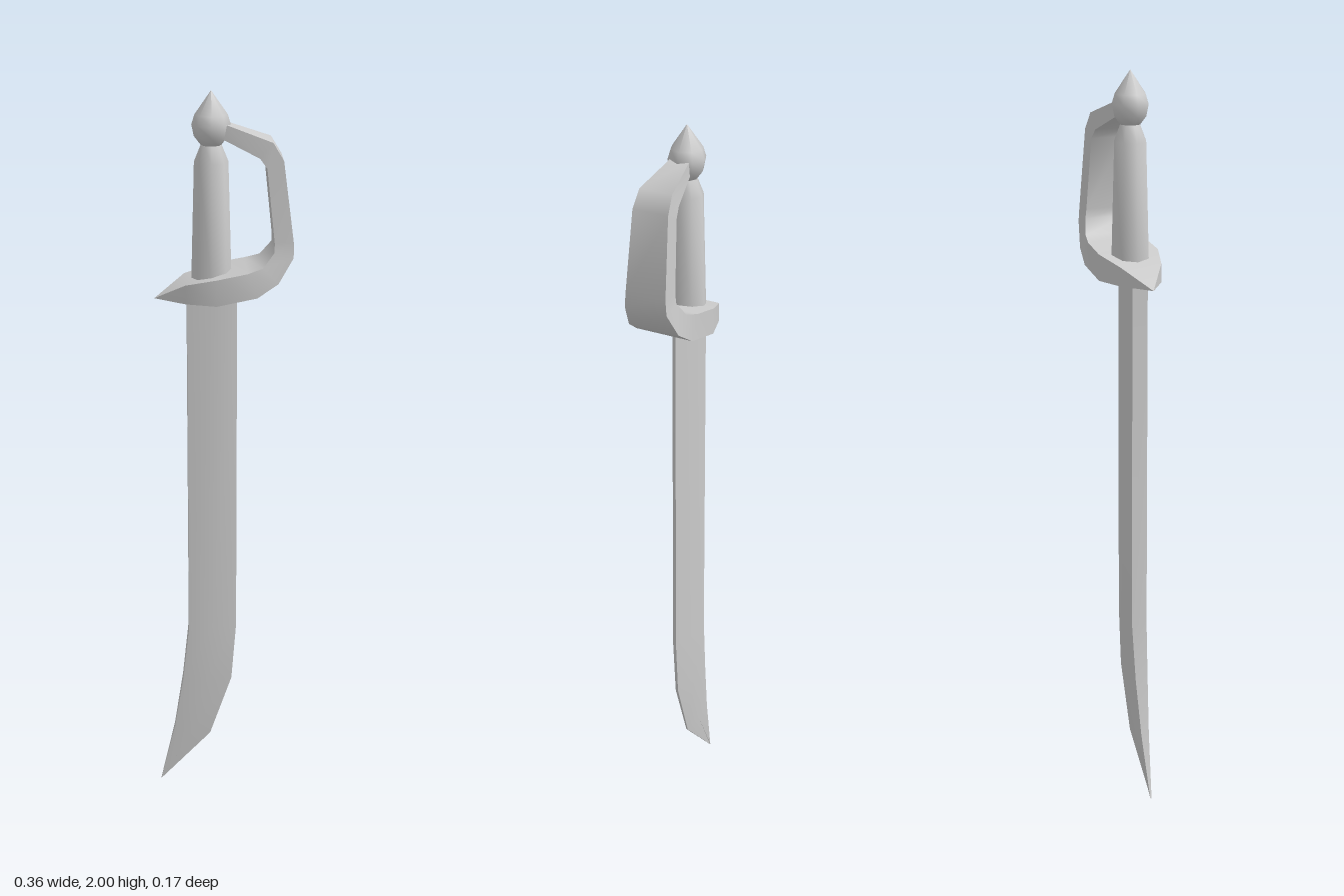
import * as THREE from 'three';
import { toCreasedNormals } from 'three/addons/utils/BufferGeometryUtils.js';

const material = new THREE.MeshStandardMaterial({ color: 0xcccccc });

function part(name, geometry, crease) {
  const mesh = new THREE.Mesh(toCreasedNormals(geometry, crease), material);
  mesh.name = name;
  return mesh;
}

// Skins a row of closed cross-sections and caps both ends
function loft(sections) {
  const pos = [];
  const tri = (a, b, c) => {
    const ab = new THREE.Vector3().subVectors(b, a);
    if (ab.cross(new THREE.Vector3().subVectors(c, a)).length() < 1e-8) return;
    for (const p of [a, b, c]) pos.push(p.x, p.y, p.z);
  };
  const n = sections[0].length;
  for (let s = 0; s < sections.length - 1; s++) {
    const A = sections[s], B = sections[s + 1];
    for (let i = 0; i < n; i++) {
      const j = (i + 1) % n;
      tri(A[i], A[j], B[j]);
      tri(A[i], B[j], B[i]);
    }
  }
  const first = sections[0], last = sections[sections.length - 1];
  for (let i = 1; i < n - 1; i++) {
    tri(first[0], first[i + 1], first[i]);
    tri(last[0], last[i], last[i + 1]);
  }
  const g = new THREE.BufferGeometry();
  g.setAttribute('position', new THREE.Float32BufferAttribute(pos, 3));
  return g;
}

const v = (x, y, z) => new THREE.Vector3(x, y, z);

// Blade: flat spine on -x, ridge, then a bevel to the cutting edge on +x
function bladeGeometry() {
  // spine x, spine y, edge x, edge y, half thickness
  const rows = [
    [-0.095, 1.49, 0.037, 1.49, 0.023],
    [-0.096, 0.50, 0.037, 0.50, 0.023],
    [-0.113, 0.34, 0.024, 0.33, 0.019],
    [-0.138, 0.18, -0.037, 0.15, 0.012],
    [-0.18, 0, -0.18, 0, 0.002],
  ];
  return loft(rows.map(([sx, sy, ex, ey, t]) => {
    const at = (f, z) => v(sx + (ex - sx) * f, sy + (ey - sy) * f, z * t);
    return [at(1, 0.2), at(0.5, 1), at(0, 0.95), at(0, -0.95), at(0.5, -1), at(1, -0.2)];
  }));
}

// Guard: broad pointed plate that sweeps up into the knuckle bow
function guardGeometry() {
  // outer x, outer y, inner x, inner y, half width
  const rows = [
    [-0.18, 1.46, -0.18, 1.46, 0],
    [-0.10, 1.46, -0.10, 1.51, 0.058],
    [-0.02, 1.46, -0.02, 1.53, 0.084],
    [0.085, 1.48, 0.06, 1.545, 0.081],
    [0.14, 1.515, 0.10, 1.557, 0.072],
    [0.179, 1.58, 0.13, 1.595, 0.06],
    [0.179, 1.62, 0.13, 1.62, 0.057],
    [0.152, 1.83, 0.11, 1.81, 0.05],
    [0.125, 1.875, 0.092, 1.835, 0.046],
    [0, 1.92, 0, 1.88, 0.026],
  ];
  return loft(rows.map(([ox, oy, ix, iy, w]) =>
    [v(ox, oy, w), v(ox, oy, -w), v(ix, iy, -w), v(ix, iy, w)]));
}

// Eight-sided turned parts of the hilt
function turned(name, profile) {
  const g = new THREE.LatheGeometry(profile.map(([r, y]) => new THREE.Vector2(r, y)), 8);
  const mesh = part(name, g, 1.0);
  mesh.position.x = -0.03;
  return mesh;
}

export function createModel() {
  const model = new THREE.Group();
  model.name = 'sabre';
  model.add(
    part('blade', bladeGeometry(), 0.35),
    part('handGuard', guardGeometry(), 0.7),
    turned('grip', [[0, 1.49], [0.053, 1.49], [0.044, 1.82], [0.026, 1.865], [0, 1.865]]),
    turned('pommel', [[0, 1.86], [0.026, 1.862], [0.044, 1.885], [0.05, 1.915], [0.042, 1.94], [0, 2]]),
  );
  return model;
}
